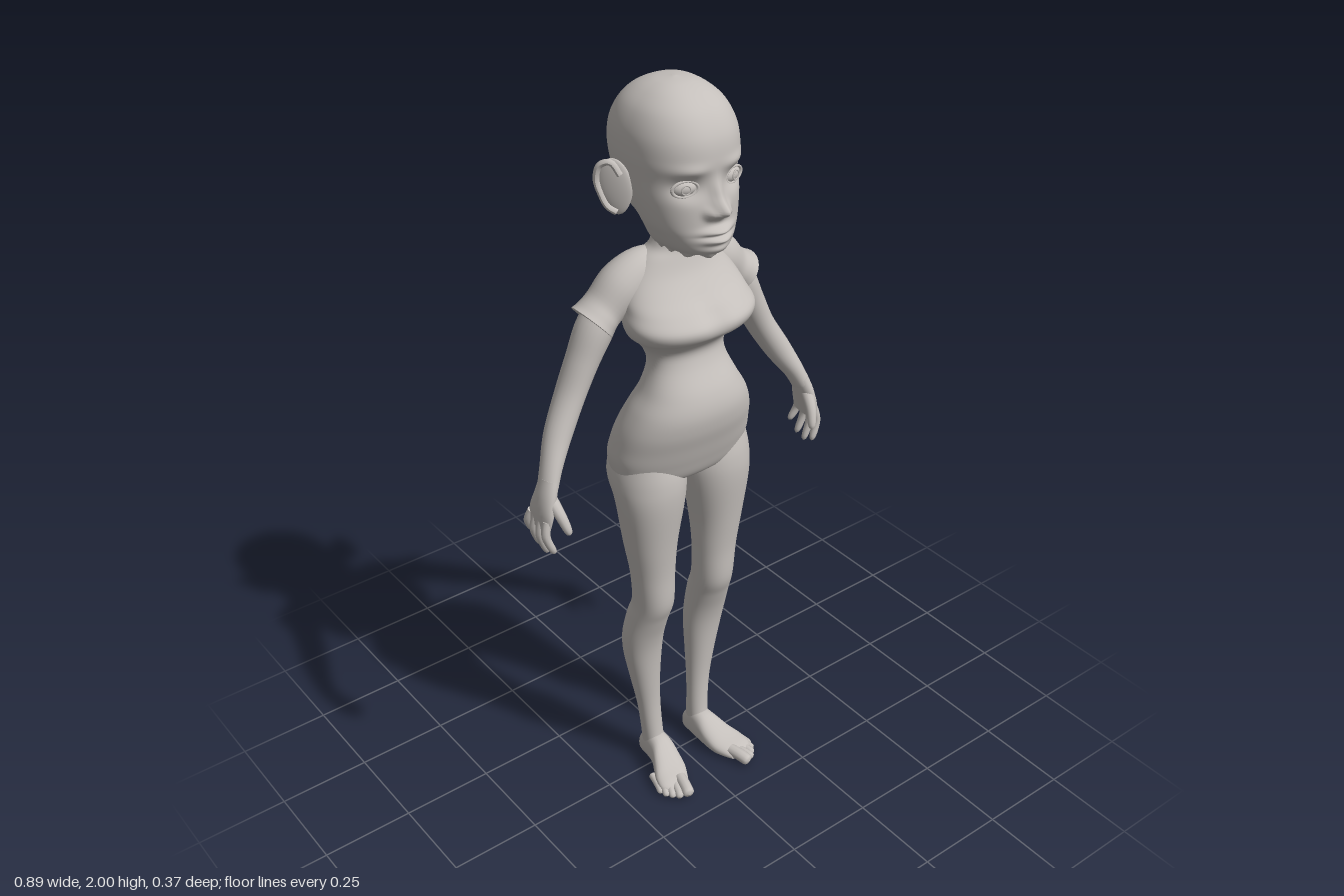
import * as THREE from 'three';

const V = (x, y, z) => new THREE.Vector3(x, y, z);
const bell = (d, w) => Math.exp(-(d * d) / (w * w));

// Smoothly resample rows of numbers (Catmull-Rom on every column)
function resample(rows, steps) {
  const out = [], last = rows.length - 1;
  for (let i = 0; i <= steps; i++) {
    const f = (i / steps) * last, k = Math.min(Math.floor(f), last - 1), t = f - k;
    const [a, b, c, d] = [-1, 0, 1, 2].map(o => rows[Math.min(Math.max(k + o, 0), last)]);
    out.push(b.map((_, j) => b[j] + 0.5 * t * (c[j] - a[j] +
      t * (2 * a[j] - 5 * b[j] + 4 * c[j] - d[j] + t * (3 * (b[j] - c[j]) + d[j] - a[j])))));
  }
  return out;
}

// Skin a list of cross-sections { c, u, v }, with closed ends
function loft(frames, seg = 24, power = 2, rule = null) {
  const pos = [], idx = [], n = frames.length;
  const bend = s => Math.sign(s) * Math.abs(s) ** (2 / power);
  for (const { c, u, v } of frames) for (let j = 0; j < seg; j++) {
    const a = (j / seg) * Math.PI * 2;
    const p = c.clone().addScaledVector(u, bend(Math.cos(a))).addScaledVector(v, bend(Math.sin(a)));
    if (rule) rule(p);
    pos.push(p.x, p.y, p.z);
  }
  for (let i = 0; i < n - 1; i++) for (let j = 0; j < seg; j++) {
    const k = (j + 1) % seg, a = i * seg + j, b = i * seg + k;
    idx.push(a, b, b + seg, a, b + seg, a + seg);
  }
  for (const [row, flip] of [[0, true], [n - 1, false]]) {
    const base = pos.length / 3, c = frames[row].c;
    pos.push(...pos.slice(row * seg * 3, (row + 1) * seg * 3), c.x, c.y, c.z);
    for (let j = 0; j < seg; j++) {
      const a = base + j, b = base + (j + 1) % seg;
      idx.push(base + seg, flip ? b : a, flip ? a : b);
    }
  }
  // Turn the faces outward if the solid came out inside out
  let volume = 0;
  const at = i => V(pos[3 * i], pos[3 * i + 1], pos[3 * i + 2]);
  for (let i = 0; i < idx.length; i += 3) volume += at(idx[i]).dot(at(idx[i + 1]).cross(at(idx[i + 2])));
  if (volume < 0) idx.reverse();
  const g = new THREE.BufferGeometry();
  g.setAttribute('position', new THREE.Float32BufferAttribute(pos, 3));
  g.setIndex(idx);
  g.computeVertexNormals();
  return g;
}

// Rows [y, xMin, xMax, zMin, zMax], stacked upward
const stack = (rows, steps, seg, power, rule) => loft(resample(rows, steps).map(([y, a, b, c, d]) => (
  { c: V((a + b) / 2, y, (c + d) / 2), u: V((b - a) / 2, 0, 0), v: V(0, 0, (d - c) / 2) })), seg, power, rule);
// Rows [z, xMin, xMax, yMin, yMax], stacked forward
const stackZ = (rows, steps, seg, power) => loft(resample(rows, steps).map(([z, a, b, c, d]) => (
  { c: V((a + b) / 2, (c + d) / 2, z), u: V((b - a) / 2, 0, 0), v: V(0, (d - c) / 2, 0) })), seg, power);

// Rows [x, y, z, thickness, width along ref] following a path
function limb(rows, ref, steps = 20, seg = 20, round = false) {
  const pts = resample(rows, steps), at = i => V(...pts[Math.min(Math.max(i, 0), steps)].slice(0, 3));
  return loft(pts.map((p, i) => {
    const t = at(i + 1).sub(at(i - 1)).normalize(), u = t.clone().cross(ref).normalize();
    const e = round ? Math.max(0, (i / steps - 0.75) / 0.25) : 0, s = Math.sqrt(Math.max(0, 1 - e * e));
    return { c: at(i), u: u.clone().multiplyScalar(p[3] * s), v: u.clone().cross(t).multiplyScalar(p[4] * s) };
  }), seg);
}

function mirrored(geo) {
  const g = geo.clone().scale(-1, 1, 1);
  g.setIndex(Array.from(geo.index.array).reverse());
  g.computeVertexNormals();
  return g;
}

export function createModel() {
  const model = new THREE.Group();
  const skin = new THREE.MeshStandardMaterial({ color: 0xc4bfbb });
  skin.name = 'skin';
  const add = (name, geo) => {
    const m = new THREE.Mesh(geo, skin);
    m.name = name;
    model.add(m);
  };
  const pair = (name, geo) => {
    add('left' + name, geo);
    add('right' + name, mirrored(geo));
  };
  const X = V(1, 0, 0), Y = V(0, 1, 0), Z = V(0, 0, 1);

  // Torso: [y, half width, back, front]
  const torso = [
    [0.975, 0.1, -0.06, 0.05], [1.0, 0.18, -0.1, 0.085], [1.05, 0.199, -0.125, 0.105], [1.1, 0.194, -0.12, 0.12],
    [1.15, 0.182, -0.104, 0.134], [1.2, 0.16, -0.082, 0.138], [1.25, 0.13, -0.06, 0.125], [1.31, 0.106, -0.046, 0.092],
    [1.35, 0.112, -0.052, 0.084], [1.385, 0.138, -0.065, 0.11], [1.41, 0.165, -0.076, 0.145], [1.44, 0.174, -0.085, 0.153],
    [1.47, 0.166, -0.092, 0.125], [1.5, 0.158, -0.095, 0.088], [1.54, 0.135, -0.09, 0.054], [1.58, 0.1, -0.078, 0.036],
    [1.605, 0.068, -0.066, 0.03], [1.65, 0.052, -0.06, 0.03]];
  add('torso', stack(torso.map(([y, r, b, f]) => [y, -r, r, b, f]), 90, 72, 2.2, p => {
    if (p.z < 0) p.z += 0.03 * bell(p.x, 0.016) * bell(p.y - 1.03, 0.06) + 0.012 * bell(p.x, 0.025) * bell(p.y - 1.4, 0.12);
    else p.z -= 0.012 * bell(p.x, 0.03) * bell(p.y - 1.45, 0.035);
  }));

  // Head: [y, half width, back, front], with the face pushed out of the front
  const head = [
    [1.618, 0.066, -0.1, 0.128], [1.64, 0.086, -0.1, 0.143], [1.67, 0.102, -0.101, 0.144], [1.7, 0.115, -0.112, 0.14],
    [1.75, 0.127, -0.15, 0.137], [1.8, 0.133, -0.175, 0.131], [1.85, 0.136, -0.185, 0.134], [1.9, 0.13, -0.178, 0.125],
    [1.945, 0.11, -0.152, 0.098], [1.975, 0.08, -0.118, 0.06], [1.993, 0.045, -0.075, 0.02], [2.0, 0.004, -0.026, -0.018]];
  add('head', stack(head.map(([y, r, b, f]) => [y, -r, r, b, f]), 120, 120, 2.3, p => {
    const { x, y, z } = p, ax = Math.abs(x);
    if (y < 1.72 && z < 0) p.x *= 1 - 0.4 * Math.min(1, -z / 0.07) * Math.min(1, (1.72 - y) / 0.05);
    if (y < 1.625) p.y += 0.005 * Math.sin(Math.atan2(x, z) * 15);
    if (z > 0.03) p.z +=
      0.038 * bell(x, 0.018) * bell(y - 1.737, 0.02) + 0.016 * bell(x, 0.014) * bell(y - 1.77, 0.035) // nose
      + 0.018 * bell(ax - 0.024, 0.012) * bell(y - 1.73, 0.013)                                        // nostrils
      - 0.016 * bell(ax - 0.066, 0.034) * bell(y - 1.79, 0.024)                                        // eye sockets
      + 0.007 * bell(ax - 0.065, 0.04) * bell(y - 1.832, 0.014)                                        // brows
      + 0.02 * bell(x, 0.036) * (bell(y - 1.685, 0.009) + bell(y - 1.664, 0.009))                      // lips
      - 0.004 * bell(x, 0.04) * bell(y - 1.675, 0.004)                                                 // mouth line
      + 0.008 * bell(x, 0.03) * bell(y - 1.637, 0.014);                                                // chin
  }));

  // Eyes: ball, lid rim and iris ring
  const eyeAt = g => g.rotateY(0.3).translate(0.066, 1.79, 0.098);
  pair('Eyeball', eyeAt(new THREE.SphereGeometry(1, 24, 16).scale(0.031, 0.019, 0.018)));
  pair('Eyelids', eyeAt(new THREE.TorusGeometry(0.031, 0.0045, 8, 32).scale(1, 0.6, 1).translate(0, 0, 0.009)));
  pair('Iris', eyeAt(new THREE.TorusGeometry(0.011, 0.002, 6, 20).translate(0, 0, 0.0165)));

  // Ears: tapering shell and a raised rim
  const earAt = g => g.rotateZ(-0.12).rotateY(0.9).translate(0.153, 1.768, -0.042);
  const shell = new THREE.SphereGeometry(1, 24, 20).scale(0.043, 0.068, 0.011), sp = shell.attributes.position;
  for (let i = 0; i < sp.count; i++) sp.setX(i, sp.getX(i) * (1 + 3 * Math.min(0, sp.getY(i) + 0.01)) * 0.97);
  shell.computeVertexNormals();
  pair('Ear', earAt(shell));
  const rim = new THREE.CatmullRomCurve3([[-0.018, 0.03], [0, 0.06], [0.026, 0.055], [0.04, 0.022], [0.034, -0.015],
    [0.022, -0.045], [0.002, -0.06]].map(([x, y]) => V(x, y, 0.007)));
  pair('EarRim', earAt(new THREE.TubeGeometry(rim, 32, 0.008, 8)));

  // Shoulders with a flared cuff, then the arms
  pair('Shoulder', limb([[0.04, 1.545, -0.035, 0.05, 0.045], [0.09, 1.535, -0.04, 0.062, 0.055], [0.14, 1.508, -0.045, 0.064, 0.06],
    [0.185, 1.472, -0.05, 0.052, 0.055], [0.21, 1.452, -0.05, 0.052, 0.058], [0.224, 1.44, -0.05, 0.057, 0.062]], Z, 24, 28));
  pair('Arm', limb([[0.17, 1.485, -0.05, 0.035, 0.045], [0.215, 1.425, -0.05, 0.045, 0.05], [0.255, 1.35, -0.05, 0.04, 0.044],
    [0.295, 1.27, -0.048, 0.036, 0.041], [0.345, 1.185, -0.032, 0.034, 0.036], [0.382, 1.12, -0.01, 0.026, 0.031],
    [0.402, 1.075, 0.002, 0.022, 0.031]], Z, 32, 24));

  // Hands
  pair('Palm', limb([[0.396, 1.095, 0, 0.021, 0.029], [0.41, 1.055, 0.003, 0.021, 0.037], [0.421, 1.015, 0.001, 0.018, 0.045],
    [0.428, 0.975, -0.003, 0.012, 0.043]], Z, 16, 24));
  const fingers = [[0.03, 0.041, 0.906], [0.008, 0.009, 0.891], [-0.014, -0.021, 0.9], [-0.034, -0.052, 0.926]];
  for (const [z0, z1, tip] of fingers) pair('Finger', limb([[0.427, 1.0, z0, 0.012, 0.012],
    [0.435, (1.0 + tip) / 2 + 0.005, (z0 + z1) / 2, 0.011, 0.011], [0.415, tip, z1, 0.009, 0.009]], Z, 14, 12, true));
  pair('Thumb', limb([[0.41, 1.06, 0.015, 0.016, 0.018], [0.4, 1.015, 0.05, 0.013, 0.014], [0.388, 0.965, 0.07, 0.01, 0.01]], X, 14, 12, true));

  // Legs
  pair('Leg', stack([
    [1.06, 0.025, 0.188, -0.1, 0.08], [1.0, 0.005, 0.2, -0.108, 0.094], [0.93, 0.013, 0.196, -0.073, 0.096],
    [0.8, 0.035, 0.178, -0.056, 0.082], [0.7, 0.043, 0.162, -0.043, 0.073], [0.6, 0.046, 0.153, -0.046, 0.07],
    [0.54, 0.047, 0.158, -0.064, 0.05], [0.47, 0.047, 0.164, -0.077, 0.027], [0.4, 0.048, 0.158, -0.08, 0.013],
    [0.3, 0.053, 0.138, -0.073, 0.004], [0.2, 0.054, 0.12, -0.061, 0], [0.1, 0.051, 0.11, -0.056, 0.006],
    [0.04, 0.05, 0.106, -0.06, 0.02]], 72, 40, 2.1));

  // Feet and toes
  pair('Foot', stackZ([
    [-0.068, 0.072, 0.088, 0.02, 0.04], [-0.056, 0.052, 0.104, 0.003, 0.07], [-0.02, 0.047, 0.11, 0, 0.095],
    [0.02, 0.045, 0.118, 0, 0.092], [0.055, 0.046, 0.135, 0, 0.068], [0.09, 0.052, 0.153, 0, 0.048],
    [0.12, 0.066, 0.157, 0.001, 0.036], [0.14, 0.078, 0.142, 0.005, 0.026]], 32, 28, 2.4));
  const toes = [[0.092, 0.108, 0.183, 0.017], [0.11, 0.13, 0.172, 0.012], [0.124, 0.144, 0.158, 0.011],
    [0.135, 0.155, 0.143, 0.0105], [0.144, 0.16, 0.124, 0.01]];
  for (const [x0, x1, z, r] of toes) pair('Toe', limb([[x0, r + 0.008, z - 0.065, r, r], [(x0 + x1) / 2, r + 0.006, z - 0.03, r, r],
    [x1, r, z, r, r * 0.95]], Y, 14, 12, true));

  return model;
}
